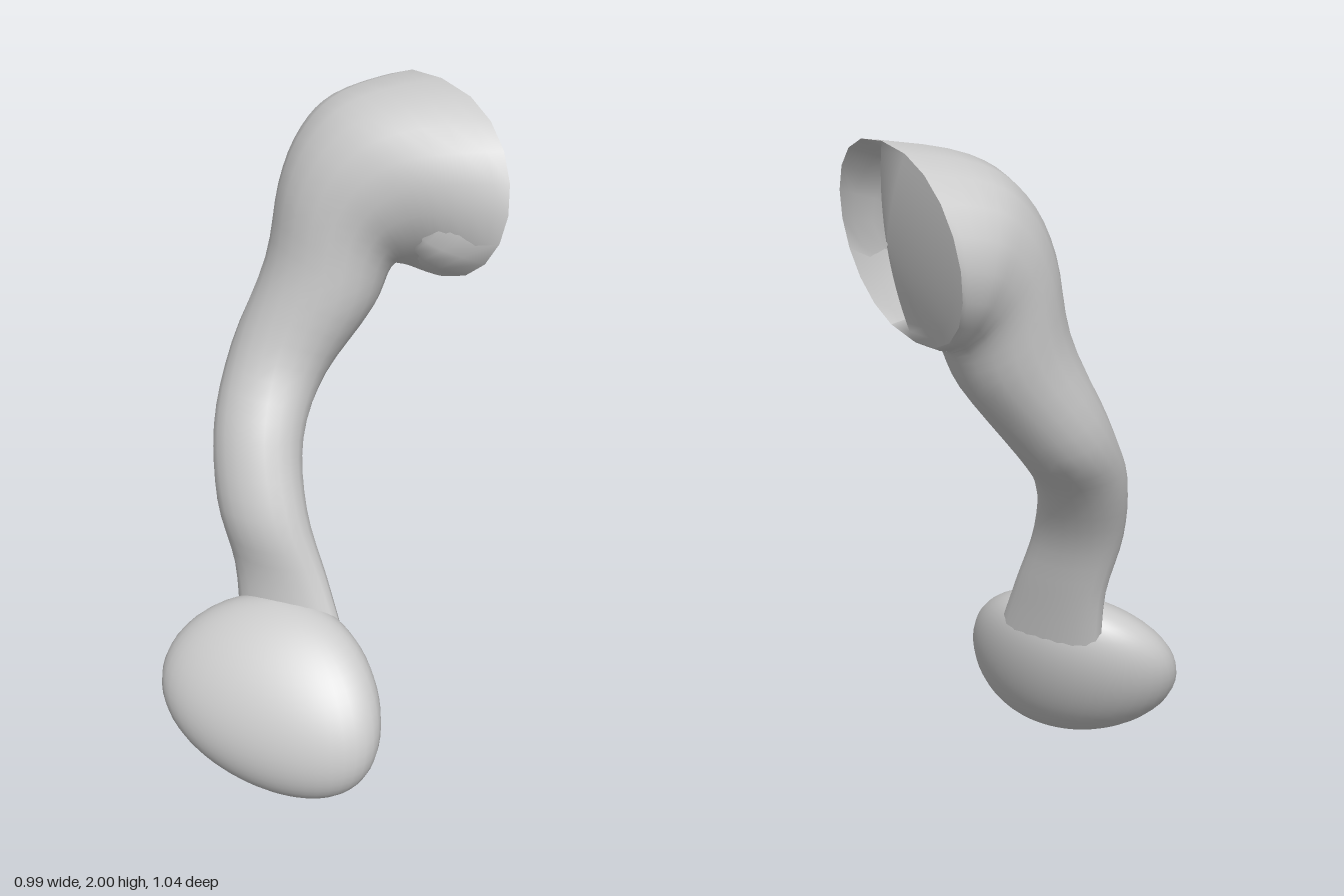
import * as THREE from 'three';

const SIDES = 20, STEPS = 4, CAP_RINGS = 10;
const rad = THREE.MathUtils.degToRad;

// Arm sections, wrist to shoulder:
// centre x, y, z, half width, half depth, turn, tilt (degrees), roundness (below 1 is boxier)
const SECTIONS = [
  [-0.10, 0.42, 0.10, 0.175, 0.06, 45, 0, 1],
  [-0.115, 0.60, 0.045, 0.15, 0.07, 45, 0, 1],
  [-0.15, 0.80, -0.02, 0.14, 0.10, 45, 0, 1],
  [-0.125, 1.00, -0.115, 0.14, 0.12, 38, 10, 1],
  [-0.03, 1.18, -0.205, 0.155, 0.135, 26, 24, 1],
  [0.10, 1.40, -0.215, 0.19, 0.165, 10, 28, 1],
  [0.15, 1.57, -0.22, 0.21, 0.20, 6, 41, 1],
  [0.20, 1.66, -0.21, 0.25, 0.24, 6, 62, 0.95],
  [0.27, 1.705, -0.19, 0.30, 0.26, 8, 77, 0.9],
  [0.40, 1.725, -0.14, 0.38, 0.275, 12, 98, 0.85],
];
const LAST = SECTIONS.length - 1;

// Smooth interpolation of every section value
function sectionAt(t) {
  const i = Math.min(Math.floor(t), LAST - 1), f = t - i;
  const row = (k) => SECTIONS[THREE.MathUtils.clamp(k, 0, LAST)];
  return SECTIONS[0].map((_, c) => {
    const p0 = row(i - 1)[c], p1 = row(i)[c], p2 = row(i + 1)[c], p3 = row(i + 2)[c];
    const m1 = (p2 - p0) / 2, m2 = (p3 - p1) / 2;
    return p1 + f * (m1 + f * (3 * (p2 - p1) - 2 * m1 - m2 + f * (2 * (p1 - p2) + m1 + m2)));
  });
}

// Point on a section at angle w, scaled by k towards its centre
function sectionPoint(t, w, k = 1) {
  const [x, y, z, a, b, turn, tilt, round] = sectionAt(t);
  const th = rad(turn), ph = rad(tilt), c = Math.cos(w);
  const u = new THREE.Vector3(Math.sin(th), 0, Math.cos(th));
  const v = new THREE.Vector3(-Math.cos(th) * Math.cos(ph), Math.sin(ph), Math.sin(th) * Math.cos(ph));
  return new THREE.Vector3(x, y, z)
    .addScaledVector(u, k * a * Math.sign(c) * Math.abs(c) ** round)
    .addScaledVector(v, k * b * Math.sin(w));
}

// Skin a series of closed rings given by pointAt(ring, angle)
function loft(rings, pointAt) {
  const positions = [], index = [];
  for (let r = 0; r <= rings; r++) {
    for (let s = 0; s < SIDES; s++) {
      positions.push(...pointAt(r, (s / SIDES) * Math.PI * 2).toArray());
      if (r < rings) {
        const i = r * SIDES + s, j = r * SIDES + (s + 1) % SIDES;
        index.push(i, i + SIDES, j, j, i + SIDES, j + SIDES);
      }
    }
  }
  const g = new THREE.BufferGeometry();
  g.setAttribute('position', new THREE.Float32BufferAttribute(positions, 3));
  g.setIndex(index);
  g.computeVertexNormals();
  return g;
}

// Shoulder end: bulges at the back and folds into a hollow behind the front lip
function capPoint(ring, w) {
  const k = 1 - 0.98 * ring / CAP_RINGS;
  const p = sectionPoint(LAST, w, k);
  const across = Math.max(0, k * Math.cos(w));
  p.x += 0.03 * (1 - k * k) - 0.16 * Math.sin(Math.PI * across) * (1 - k ** 6);
  return p;
}

// Rounded hand: a sphere sheared into a slanted ellipsoid, then bent slightly
function handGeometry() {
  const g = new THREE.SphereGeometry(1, 40, 28);
  g.applyMatrix4(new THREE.Matrix4().set(
    0.285, 0, 0, 0,
    0.03, 0.268, 0, 0,
    0.147, -0.108, 0.231, 0,
    0, 0, 0, 1));
  const p = g.attributes.position;
  for (let i = 0; i < p.count; i++) {
    const x = p.getX(i), y = p.getY(i), z = p.getZ(i);
    const t = (x + z) / 0.5;
    const bend = 0.021 * (t * t - 0.35);
    p.setX(i, x - bend + 0.04 * (y / 0.27) ** 2);
    p.setZ(i, z + bend);
  }
  g.translate(-0.205, 0.27, 0.22);
  g.computeVertexNormals();
  // Average the normals along the sphere's seam
  const n = g.attributes.normal, cols = 41;
  for (let r = 0; r <= 28; r++) {
    const i = r * cols, j = i + cols - 1;
    const m = new THREE.Vector3().fromBufferAttribute(n, i)
      .add(new THREE.Vector3().fromBufferAttribute(n, j)).normalize();
    n.setXYZ(i, m.x, m.y, m.z);
    n.setXYZ(j, m.x, m.y, m.z);
  }
  return g;
}

export function createModel() {
  const group = new THREE.Group();
  group.name = 'armWithHand';
  const material = new THREE.MeshStandardMaterial({ color: 0xcccccc, side: THREE.DoubleSide });
  const add = (name, geometry) => {
    const mesh = new THREE.Mesh(geometry, material);
    mesh.name = name;
    group.add(mesh);
  };
  add('arm', loft(LAST * STEPS, (r, w) => sectionPoint(r / STEPS, w)));
  add('shoulderEnd', loft(CAP_RINGS, capPoint));
  add('hand', handGeometry());
  return group;
}
